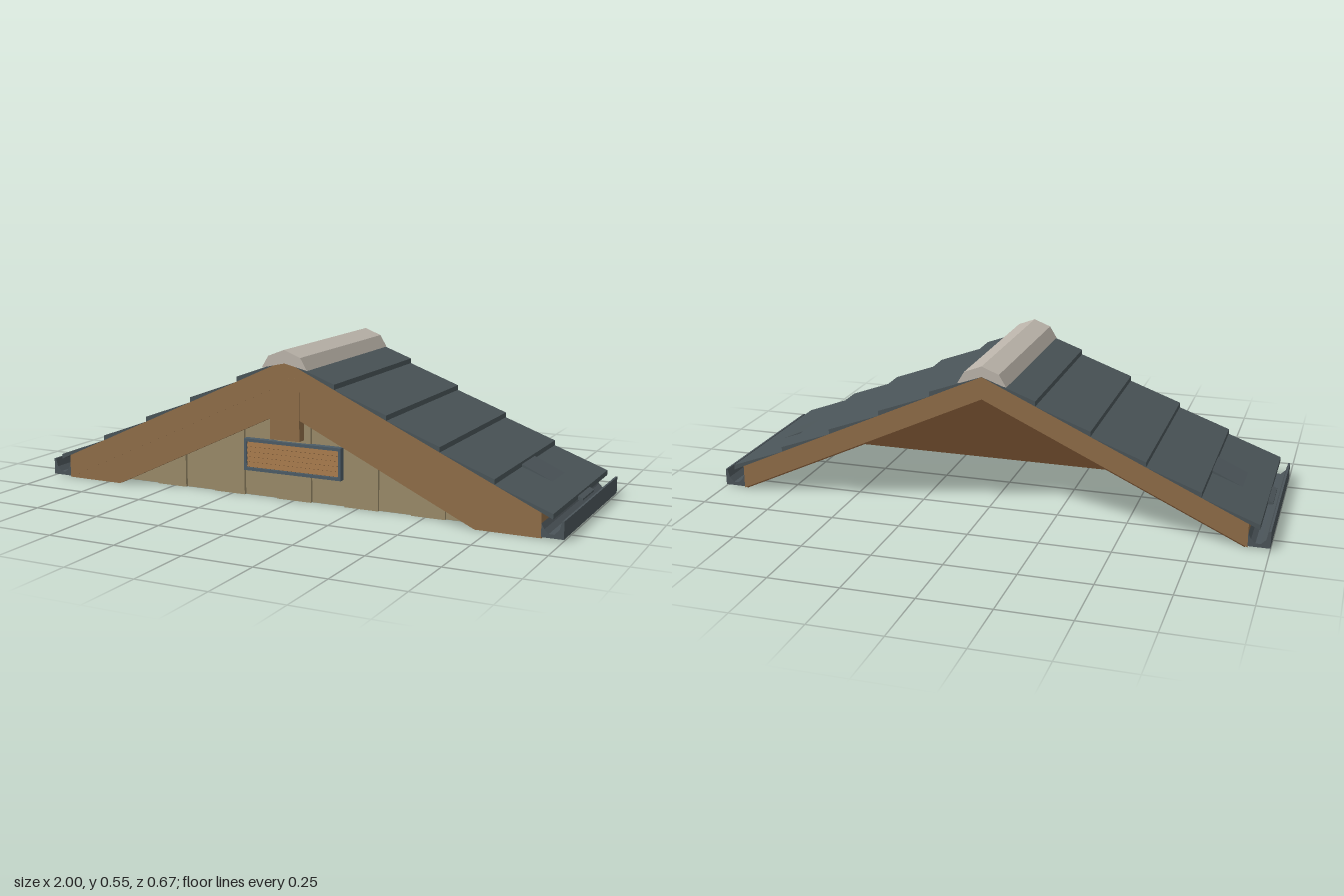
import * as THREE from 'three';

const mat = (name, color) => {
  const m = new THREE.MeshStandardMaterial({ color });
  m.name = name;
  return m;
};

export function createModel() {
  const root = new THREE.Group();
  root.name = 'gableRoof';
  const slate = mat('slate', 0x4a5458);
  const gutterMetal = mat('gutterMetal', 0x4b5459);
  const timber = mat('timber', 0x8f6d48);
  const soffit = mat('darkTimber', 0x664529);
  const plankWood = mat('paleWood', 0x9a8b69);
  const capStone = mat('ridgeStone', 0xbcb5ab);
  const frameMetal = mat('ventFrame', 0x4c5c66);
  const slatWood = mat('slatWood', 0x9a7046);

  const D = 0.333; // half depth

  // Extrude an x-y outline between two z values
  function prism(name, pts, z0, z1, material, parent = root) {
    const shape = new THREE.Shape(pts.map(([x, y]) => new THREE.Vector2(x, y)));
    const geo = new THREE.ExtrudeGeometry(shape, { depth: z1 - z0, bevelEnabled: false });
    geo.translate(0, 0, z0);
    const mesh = new THREE.Mesh(geo, material);
    mesh.name = name;
    parent.add(mesh);
    return mesh;
  }
  function box(name, w, h, d, x, y, z, material, parent = root) {
    const mesh = new THREE.Mesh(new THREE.BoxGeometry(w, h, d), material);
    mesh.name = name;
    mesh.position.set(x, y, z);
    parent.add(mesh);
    return mesh;
  }

  const deck = (x) => 0.51 - 0.46 * x;      // top of the rafters
  const under = (x) => 0.43 - 0.465 * x;    // ceiling line
  const courses = [0, 0.19, 0.383, 0.575, 0.765, 0.963];

  for (const s of [1, -1]) {
    const side = new THREE.Group();
    side.name = s > 0 ? 'leftSlope' : 'rightSlope';
    root.add(side);
    const m = (pts) => pts.map(([x, y]) => [x * s, y]);

    // Sloping timber deck with a dark lining below
    prism('roofDeck', m([[0, deck(0)], [0.925, deck(0.925)], [0.925, 0], [0, 0.43]]), -D, D, timber, side);
    prism('ceilingLining', m([[0, 0.431], [0.922, 0.002], [0.914, 0], [0, 0.425]]), -D + 0.002, 0.325, soffit, side);

    // Overlapping slate courses, each a wedge
    for (let i = 0; i < 5; i++) {
      const a = courses[i], b = courses[i + 1];
      prism('slateCourse', m([[a, deck(a)], [b, deck(b)], [b, deck(b) + 0.018]]), -D, D, slate, side);
    }
    // Loose slate near the eave
    prism('looseSlate', m([[0.765, 0.15], [0.765, 0.167], [0.98, 0.07], [0.98, 0.064], [0.96, 0.064]]), -0.093, 0.05, slate, side);

    // Gutter along the eave
    prism('gutter', m([[0.925, 0.005], [1, 0.005], [1, 0.065], [0.993, 0.065], [0.985, 0.035],
      [0.968, 0.018], [0.95, 0.018], [0.935, 0.032], [0.925, 0.05]]), -D, D, gutterMetal, side);

    // Barge board under the front edge
    prism('bargeBoard', m([[0, 0.45], [0.92, 0.02], [0.92, 0], [0.7, 0], [0.055, 0.305], [0, 0.305]]), 0.3, 0.331, timber, side);
  }

  // Short post hanging at the apex
  box('apexPost', 0.115, 0.22, 0.036, 0, 0.34, 0.3155, timber);

  // Gable wall with a dark inner face
  prism('gableWall', [[-0.92, 0], [0.92, 0], [0, 0.43]], 0.23, 0.24, soffit);

  // Vertical planks, alternating in depth and cut to the roof line
  const edges = [0.068, 0.2, 0.326, 0.449, 0.572, 0.7, 0.83];
  const planks = new THREE.Group();
  planks.name = 'gablePlanks';
  root.add(planks);
  prism('plank', [[-0.068, 0], [0.068, 0], [0.068, under(0.068)], [0, 0.43], [-0.068, under(0.068)]], 0.24, 0.268, plankWood, planks);
  for (const s of [1, -1]) {
    for (let i = 0; i < edges.length - 1; i++) {
      const a = edges[i], b = edges[i + 1];
      prism('plank', [[a * s, 0], [b * s, 0], [b * s, under(b)], [a * s, under(a)]],
        0.24, i % 2 ? 0.268 : 0.257, plankWood, planks);
    }
  }

  // Louvred vent
  const vent = new THREE.Group();
  vent.name = 'vent';
  vent.position.set(0, 0.153, 0.272);
  root.add(vent);
  for (const s of [1, -1]) {
    box('ventRail', 0.384, 0.011, 0.024, 0, s * 0.0525, 0, frameMetal, vent);
    box('ventStile', 0.011, 0.094, 0.024, s * 0.1865, 0, 0, frameMetal, vent);
  }
  box('ventBack', 0.362, 0.094, 0.006, 0, 0, -0.002, soffit, vent);
  for (let i = 0; i < 5; i++) {
    const slat = box('ventSlat', 0.362, 0.018, 0.005, 0, -0.037 + i * 0.0185, 0.005, slatWood, vent);
    slat.rotation.x = -0.35;
  }

  // Faceted ridge cap
  prism('ridgeCap', [[-0.088, 0.48], [-0.062, 0.523], [0, 0.547], [0.062, 0.523], [0.088, 0.48], [0, 0.5]], -0.3325, 0.3335, capStone);

  return root;
}
